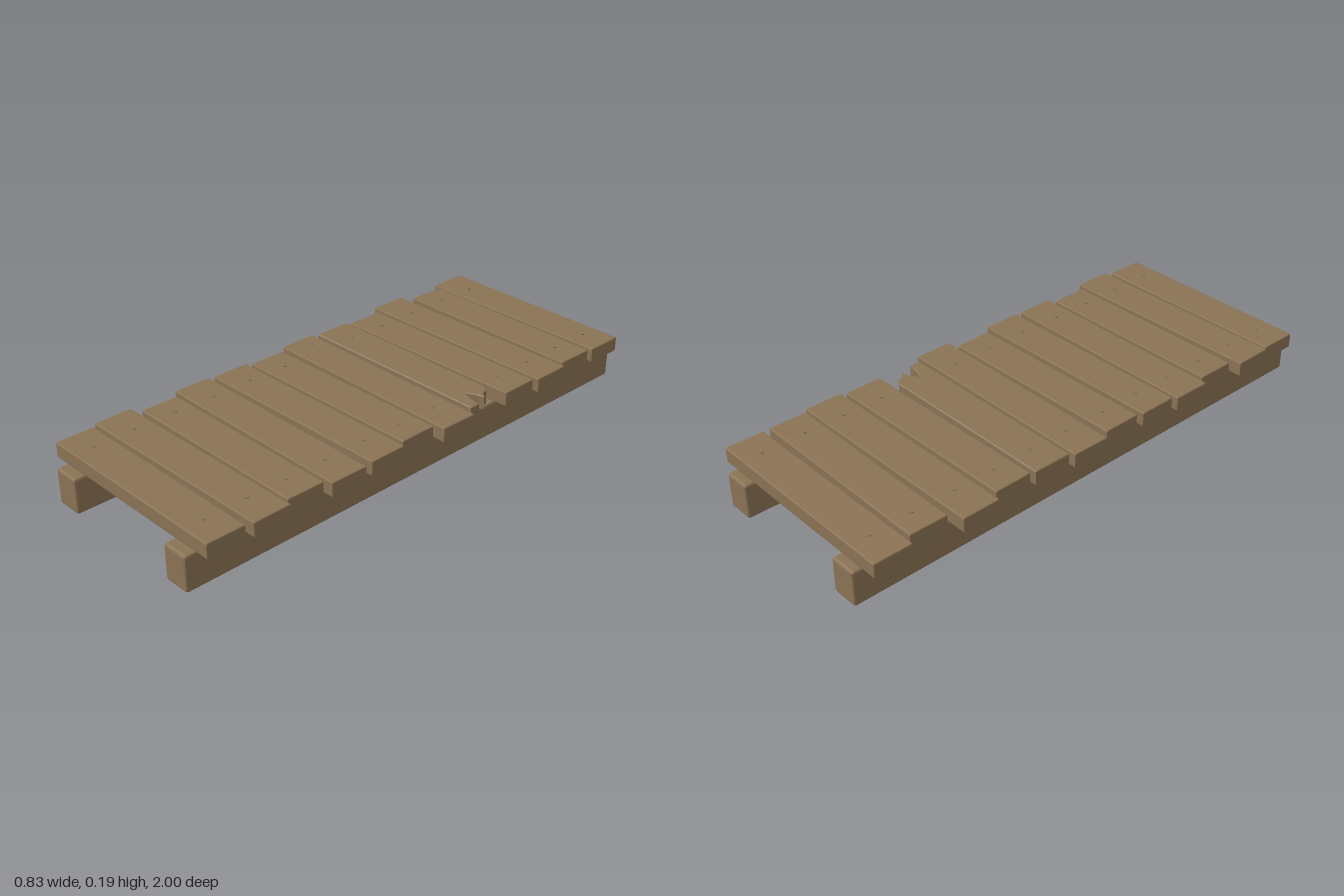
import * as THREE from 'three';
import { RoundedBoxGeometry } from 'three/addons/geometries/RoundedBoxGeometry.js';

const wood = new THREE.MeshStandardMaterial({ color: 0x8b7355 });
wood.name = 'weathered wood';

const PLANK_H = 0.055, PLANK_D = 0.145, PLANK_Y = 0.131, NAIL_X = 0.285;

function add(parent, geometry, name, x = 0, y = 0, z = 0) {
  const mesh = new THREE.Mesh(geometry, wood);
  mesh.name = name;
  mesh.position.set(x, y, z);
  parent.add(mesh);
  return mesh;
}

// Box with flat chamfers on every edge
function chamferedBox(w, h, d, chamfer) {
  const g = new RoundedBoxGeometry(w, h, d, 1, chamfer);
  g.computeVertexNormals();
  return g;
}

// Plank with a splintered right end, outline given as x, z
function brokenPlank() {
  const h = PLANK_D / 2, bevel = 0.003;
  const outline = [
    [-0.39, -h], [0.31, -h], [0.335, -0.055], [0.335, -0.04], [0.358, -0.018],
    [0.335, -0.012], [0.292, 0.012], [0.335, 0.024], [0.38, 0.032], [0.38, h], [-0.39, h],
  ];
  const shape = new THREE.Shape(outline.map(([x, z]) => new THREE.Vector2(x, -z)));
  const g = new THREE.ExtrudeGeometry(shape, {
    depth: PLANK_H - 2 * bevel, bevelEnabled: true, bevelSegments: 1,
    bevelSize: bevel, bevelThickness: bevel, bevelOffset: -bevel,
  });
  g.rotateX(-Math.PI / 2);
  g.translate(0, bevel - PLANK_H / 2, 0);
  return g;
}

export function createModel() {
  const model = new THREE.Group();
  model.name = 'plankWalkway';

  // Two long rails underneath
  for (const side of [-1, 1]) {
    add(model, chamferedBox(0.102, 0.13, 2, 0.008), side > 0 ? 'leftRail' : 'rightRail', side * 0.285, 0.065, 0);
  }

  // Planks: left edge, right edge, centre z, yaw, lift
  const planks = [
    [-0.402, 0.388, -0.895, 0, 0],
    [-0.37, 0.384, -0.733, -0.01, 0.003],
    [-0.415, 0.402, -0.57, 0.007, 0],
    [-0.38, 0.39, -0.41, 0.011, 0],
    [-0.39, 0.38, -0.247, -0.003, 0.003],
    [-0.405, 0.412, -0.085, -0.009, 0],
    [-0.38, 0.374, 0.078, 0.008, 0],
    [-0.392, 0.4, 0.24, 0.006, 0.003],
    [-0.404, 0.402, 0.405, -0.008, 0],
    [-0.372, 0.376, 0.565, -0.003, 0],
    [-0.405, 0.405, 0.727, 0.01, 0.003],
    [-0.392, 0.392, 0.888, 0, 0],
  ];
  const nail = new THREE.CylinderGeometry(0.007, 0.007, 0.01, 8);
  planks.forEach(([x0, x1, z, yaw, lift], i) => {
    const broken = i === 4;
    const group = new THREE.Group();
    group.name = broken ? 'brokenPlank' : `plank${i + 1}`;
    group.position.set(0, PLANK_Y + PLANK_H / 2 + lift, z);
    group.rotation.y = yaw;
    model.add(group);
    if (broken) add(group, brokenPlank(), 'splinteredBoard');
    else add(group, chamferedBox(x1 - x0, PLANK_H, PLANK_D, 0.004), 'board', (x0 + x1) / 2);

    // Nail heads over the rails
    add(group, nail, 'nail', -NAIL_X, PLANK_H / 2 - 0.002);
    if (!broken) add(group, nail, 'nail', NAIL_X, PLANK_H / 2 - 0.002);
  });
  return model;
}
